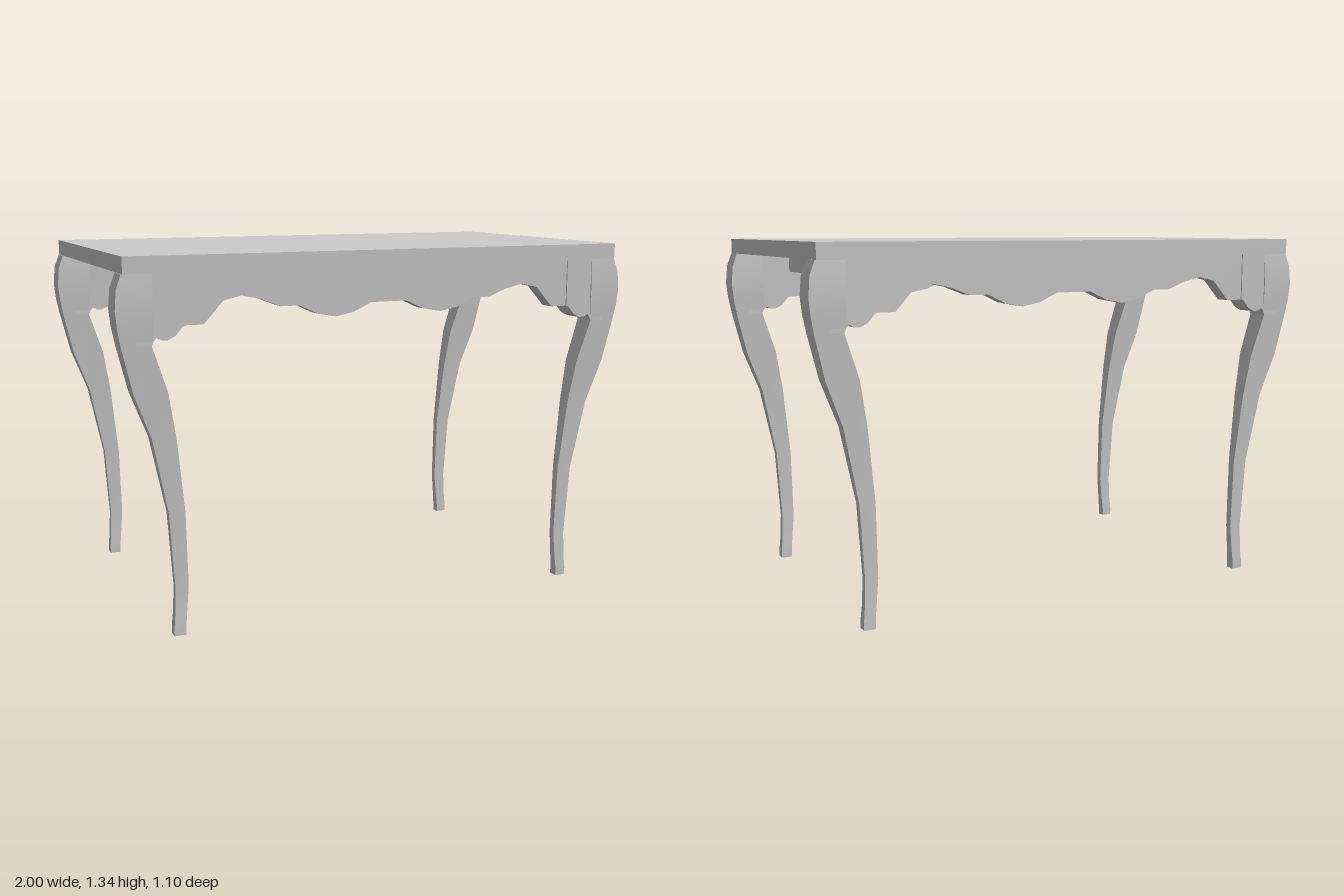
import * as THREE from 'three';
import { toCreasedNormals } from 'three/addons/utils/BufferGeometryUtils.js';

const material = new THREE.MeshStandardMaterial({ color: 0xcccccc });

function part(name, geometry) {
  const mesh = new THREE.Mesh(geometry, material);
  mesh.name = name;
  return mesh;
}

function box(name, w, h, d, x, y, z) {
  const mesh = part(name, new THREE.BoxGeometry(w, h, d));
  mesh.position.set(x, y, z);
  return mesh;
}

// Flat outline in x/y, given a thickness centred on z = 0
function slab(points, depth) {
  const shape = new THREE.Shape(points.map(([x, y]) => new THREE.Vector2(x, y)));
  const geometry = new THREE.ExtrudeGeometry(shape, { depth, bevelEnabled: false });
  return geometry.translate(0, 0, -depth / 2);
}

// Curved leg: rows of [y, inner x, outer x, half depth], from foot to top
const legRows = [
  [0, 0.777, 0.82, 0.018],
  [0.03, 0.777, 0.82, 0.018],
  [0.08, 0.772, 0.815, 0.015],
  [0.18, 0.763, 0.811, 0.013],
  [0.45, 0.769, 0.828, 0.016],
  [0.72, 0.797, 0.882, 0.026],
  [0.88, 0.824, 0.943, 0.035],
  [1.04, 0.877, 0.981, 0.042],
  [1.1, 0.87, 0.992, 0.046],
  [1.16, 0.87, 0.998, 0.048],
  [1.23, 0.87, 0.992, 0.046],
  [1.28, 0.87, 0.973, 0.043],
];

function legGeometry() {
  const positions = [], index = [];
  for (const [y, xi, xo, h] of legRows) {
    positions.push(xo, y, h, xo, y, -h, xi, y, -h, xi, y, h);
  }
  for (let i = 0; i < legRows.length - 1; i++) {
    for (let j = 0; j < 4; j++) {
      const a = i * 4 + j, b = i * 4 + (j + 1) % 4;
      index.push(a, b, b + 4, a, b + 4, a + 4);
    }
  }
  const t = (legRows.length - 1) * 4;
  index.push(0, 2, 1, 0, 3, 2, t, t + 1, t + 2, t, t + 2, t + 3);
  const geometry = new THREE.BufferGeometry();
  geometry.setAttribute('position', new THREE.Float32BufferAttribute(positions, 3));
  geometry.setIndex(index);
  return toCreasedNormals(geometry, 0.6);
}

// Scrolled bracket joining the knee to the apron
const bracketOutline = [
  [0.76, 1.28], [0.76, 1.103], [0.77, 1.1], [0.795, 1.07], [0.823, 1.056],
  [0.845, 1.058], [0.86, 1.067], [0.87, 1.055], [0.877, 1.04], [0.93, 1.04], [0.93, 1.28],
];

// Half of the apron's wavy lower edge, from the centre outward
const wave = [
  [0.07, 1.152], [0.14, 1.12], [0.21, 1.107], [0.28, 1.12], [0.347, 1.152], [0.417, 1.152],
  [0.49, 1.18], [0.56, 1.195], [0.625, 1.18], [0.695, 1.103], [0.77, 1.103],
];

export function createModel() {
  const table = new THREE.Group();
  table.name = 'table';
  table.add(box('tabletop', 1.94, 0.058, 1.1, 0, 1.309, 0));

  const leg = legGeometry();
  const bracket = slab(bracketOutline, 0.086);
  const mirrored = wave.map(([x, y]) => [-x, y]).reverse();
  const apron = slab([...mirrored, ...wave, [0.77, 1.28], [-0.77, 1.28]], 0.06);

  for (const z of [1, -1]) {
    const side = z > 0 ? 'front' : 'back';
    const apronMesh = part(side + 'Apron', apron);
    apronMesh.position.z = z * 0.508;
    table.add(apronMesh);

    for (const x of [1, -1]) {
      const group = new THREE.Group();
      group.name = side + (x > 0 ? 'Left' : 'Right') + 'Leg';
      group.add(part('curvedLeg', leg), part('bracket', bracket));
      group.position.z = z * 0.5;
      if (x < 0) group.rotation.y = Math.PI;
      table.add(group);
    }
  }

  // Cross rails between the brackets at each end
  for (const x of [1, -1]) {
    table.add(box(x > 0 ? 'leftRail' : 'rightRail', 0.05, 0.075, 0.96, x * 0.735, 1.2425, 0));
  }
  return table;
}
